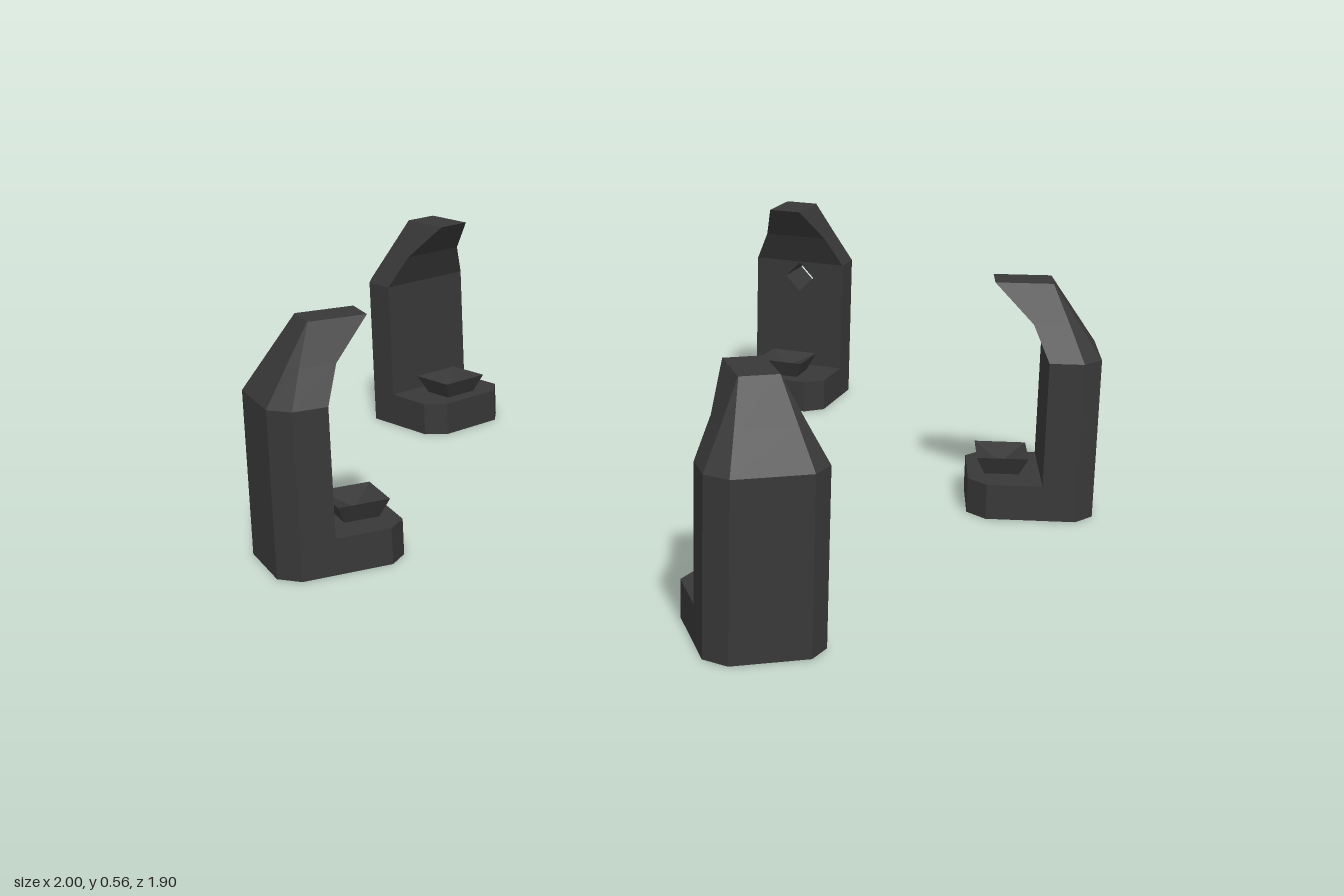
import * as THREE from 'three';

// Loft through stacked rings [[x, y, z], ...] (clockwise from above), capped by a fan to an apex
function loft(rings, apex) {
  const pos = [];
  const n = rings[0].length;
  for (let k = 0; k < rings.length - 1; k++) {
    for (let i = 0; i < n; i++) {
      const j = (i + 1) % n;
      const [a, b, c, d] = [rings[k][i], rings[k][j], rings[k + 1][i], rings[k + 1][j]];
      pos.push(...a, ...c, ...b, ...b, ...c, ...d);
    }
  }
  const top = rings[rings.length - 1];
  for (let i = 0; i < n; i++) pos.push(...apex, ...top[(i + 1) % n], ...top[i]);
  const geo = new THREE.BufferGeometry();
  geo.setAttribute('position', new THREE.Float32BufferAttribute(pos, 3));
  geo.computeVertexNormals();
  return geo;
}

const polygon = (pts) => new THREE.Shape(pts.map(([x, y]) => new THREE.Vector2(x, y)));

const W = 0.128;       // half width of a pillar
const C = 0.043;       // corner chamfer
const OUTER = 1.024;   // distances from the ring centre
const WALL = 0.901;
const TOE = 0.729;
const FOOT = 0.085;    // heights
const SHOULDER = 0.386;
const TOP = 0.555;

// Chamfered base slab
function footGeometry() {
  const shape = polygon([
    [-W, -TOE - C], [-W + C, -TOE], [W - C, -TOE], [W, -TOE - C],
    [W, -OUTER + C], [W - C, -OUTER], [-W + C, -OUTER], [-W, -OUTER + C],
  ]);
  return new THREE.ExtrudeGeometry(shape, { depth: FOOT, bevelEnabled: false }).rotateX(-Math.PI / 2);
}

// Upright column, chamfered on its outer corners, with an optional diamond opening
function columnGeometry(pierced) {
  const shape = polygon([[-W, FOOT], [W, FOOT], [W, SHOULDER], [-W, SHOULDER]]);
  if (pierced) {
    const r = 0.041, y = 0.342;
    shape.holes.push(polygon([[0, y - r], [-r, y], [0, y + r], [r, y]]));
  }
  const depth = OUTER - WALL;
  const geo = new THREE.ExtrudeGeometry(shape, { depth, steps: 2, bevelEnabled: false });
  const p = geo.attributes.position;
  for (let i = 0; i < p.count; i++) {
    const z = p.getZ(i);
    if (Math.abs(p.getX(i)) < 0.1) continue;
    if (z > depth * 0.9) p.setX(i, Math.sign(p.getX(i)) * (W - C));
    else if (z > depth * 0.1) p.setZ(i, depth - C);
  }
  geo.translate(0, 0, WALL);
  const flat = geo.toNonIndexed ? (geo.index ? geo.toNonIndexed() : geo) : geo;
  flat.computeVertexNormals();
  return flat;
}

// Tapering hook that leans towards the ring centre
function hookGeometry() {
  const ring = (y, w, c, zi, zo) => [
    [-w, y, zi], [w, y, zi], [w, y, zo - c], [w - c, y, zo], [c - w, y, zo], [-w, y, zo - c],
  ];
  return loft([
    ring(SHOULDER, W, C, WALL, OUTER),
    ring(0.467, 0.086, 0.022, 0.864, 0.969),
    ring(TOP, 0.043, 0.001, 0.774, 0.909),
  ], [0, TOP, 0.84]);
}

// Flared tray with a sunken top
function trayGeometry() {
  const ring = (y, w, zi, zo) => [[-w, y, zi], [w, y, zi], [w, y, zo], [-w, y, zo]];
  return loft([ring(FOOT, 0.045, 0.769, 0.851), ring(0.13, 0.065, 0.749, 0.871)], [0, 0.1, 0.81]);
}

export function createModel() {
  const stone = new THREE.MeshStandardMaterial({ color: 0x383838 });
  stone.name = 'darkStone';
  const model = new THREE.Group();
  model.name = 'pillarRing';

  const add = (parent, name, geo) => {
    const mesh = new THREE.Mesh(geo, stone);
    mesh.name = name;
    parent.add(mesh);
  };

  // Five pillars around the ring; only the rear one is pierced
  for (let i = 0; i < 5; i++) {
    const pillar = new THREE.Group();
    pillar.name = 'pillar' + (i + 1);
    add(pillar, 'foot', footGeometry());
    add(pillar, 'column', columnGeometry(i === 0));
    add(pillar, 'hook', hookGeometry());
    add(pillar, 'tray', trayGeometry());
    pillar.position.z = 0.074;
    pillar.rotation.y = Math.PI + (i * Math.PI * 2) / 5;
    model.add(pillar);
  }
  return model;
}
